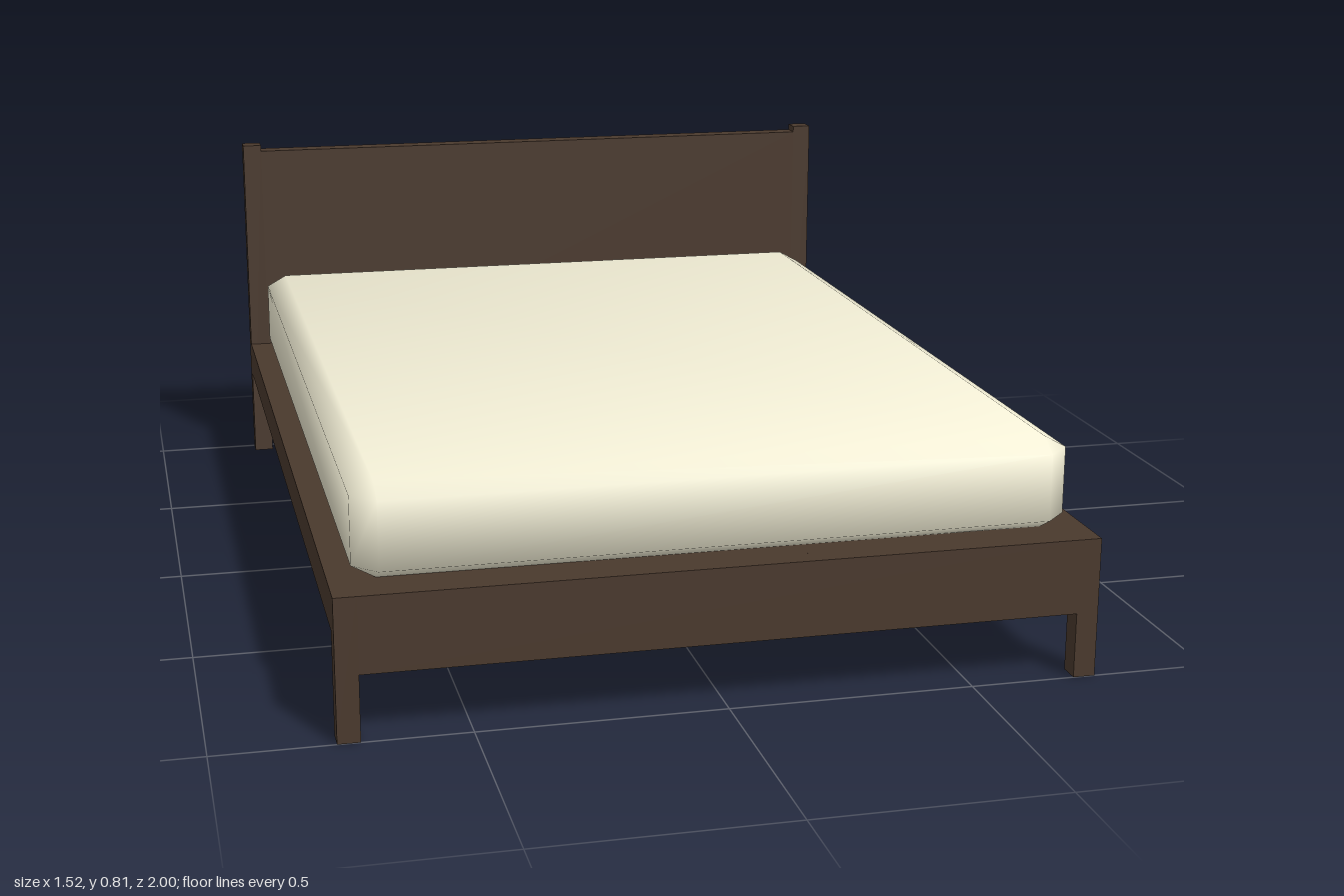
import * as THREE from 'three';
import { ConvexGeometry } from 'three/addons/geometries/ConvexGeometry.js';

const wood = new THREE.MeshStandardMaterial({ color: 0x4a392d });
const cloth = new THREE.MeshStandardMaterial({ color: 0xf5f1d8 });

// Box given by its min and max corners
function board(name, [x0, y0, z0], [x1, y1, z1]) {
  const geo = new THREE.BoxGeometry(x1 - x0, y1 - y0, z1 - z0);
  geo.translate((x0 + x1) / 2, (y0 + y1) / 2, (z0 + z1) / 2);
  const mesh = new THREE.Mesh(geo, wood);
  mesh.name = name;
  return mesh;
}

// Bevelled block with soft, blended normals
function cushion(half, bevel) {
  const points = [];
  for (const sx of [-1, 1]) for (const sy of [-1, 1]) for (const sz of [-1, 1])
    for (let axis = 0; axis < 3; axis++) {
      const p = [0, 1, 2].map(i => half[i] - (i === axis ? 0 : bevel[i]));
      points.push(new THREE.Vector3(p[0] * sx, p[1] * sy, p[2] * sz));
    }
  const geo = new ConvexGeometry(points);
  const pos = geo.attributes.position, normal = geo.attributes.normal;
  const tilt = [[1, 0.56, 0.4], [0.24, 1, 0.24], [0.4, 0.56, 1]];
  for (let i = 0; i < pos.count; i++) {
    const p = [pos.getX(i), pos.getY(i), pos.getZ(i)];
    const axis = p.findIndex((v, k) => Math.abs(Math.abs(v) - half[k]) < 1e-4);
    const n = new THREE.Vector3(...p.map((v, k) => Math.sign(v) * tilt[axis][k])).normalize();
    normal.setXYZ(i, n.x, n.y, n.z);
  }
  return geo;
}

export function createModel() {
  const bed = new THREE.Group();
  bed.name = 'bed';
  const W = 0.76, IN = 0.715, Z = 1, ZIN = 0.955;

  // Posts and legs, mirrored left and right
  for (const [side, x0, x1] of [['left', IN, W], ['right', -W, -IN]]) {
    bed.add(board(side + 'HeadPost', [x0, 0, -Z], [x1, 0.815, -ZIN]));
    bed.add(board(side + 'FootLeg', [x0, 0, ZIN], [x1, 0.29, Z]));
  }

  // Boards between the posts and the bed base
  bed.add(board('headboard', [-IN, 0.135, -Z], [IN, 0.8, -ZIN]));
  bed.add(board('footboard', [-IN, 0.135, ZIN], [IN, 0.29, Z]));
  bed.add(board('bedBase', [-W, 0.21, -ZIN], [W, 0.29, ZIN]));

  // Mattress
  const mattress = new THREE.Mesh(cushion([0.715, 0.095, 0.953], [0.047, 0.026, 0.047]), cloth);
  mattress.name = 'mattress';
  mattress.position.y = 0.386;
  bed.add(mattress);
  return bed;
}
